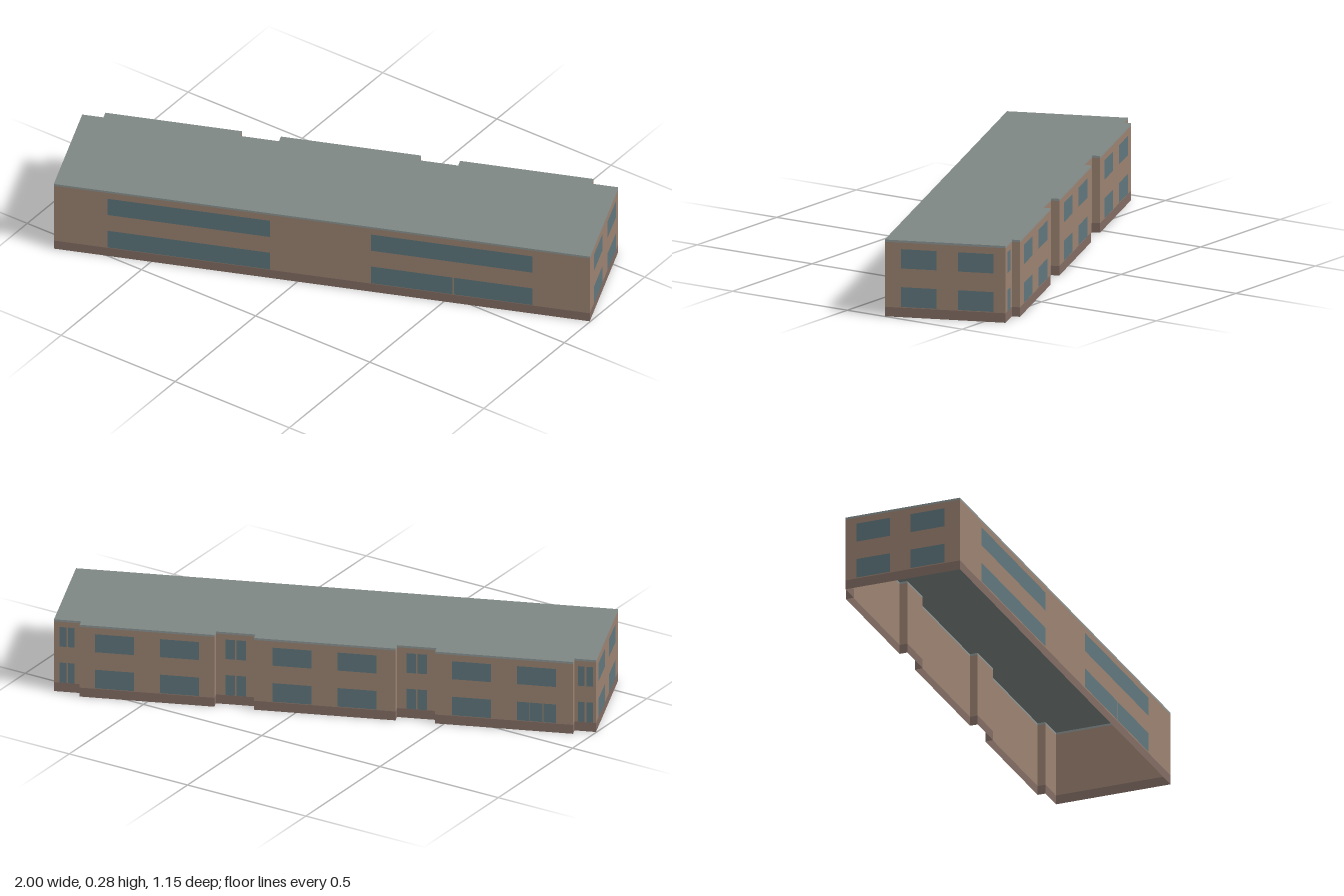
import * as THREE from 'three';

const LENGTH = 1.972, DEPTH = 0.444, BAY = 0.03, HEIGHT = 0.283;
const BASE_TOP = 0.035, TRIM_BOTTOM = 0.275;
const UPPER = [0.18, 0.251], LOWER = [0.038, 0.111];
// start and end of each projecting rear bay along the length
const BAYS = [[0.078, 0.58], [0.724, 1.239], [1.383, 1.873]];

const material = (color, side = THREE.DoubleSide) =>
  new THREE.MeshStandardMaterial({ color, side, roughness: 0.9 });

export function createModel() {
  const model = new THREE.Group();
  model.name = 'building';
  const body = new THREE.Group();
  body.name = 'body';
  body.rotation.y = 0.382;
  model.add(body);

  const brick = material(0x9c8372);
  const plinth = material(0x836d64);
  const trim = material(0x8d9694);
  const roofing = material(0x7f8885);
  const glass = material(0x5f777e, THREE.FrontSide);

  // plan position: u along the length, v from the front towards the back
  const plan = (u, v) => new THREE.Vector2(u - LENGTH / 2, DEPTH / 2 - v);

  // upright panel from p to q, facing outwards, pushed out by the offset
  function panel(name, p, q, [y0, y1], mat, offset = 0) {
    const d = q.clone().sub(p);
    const mesh = new THREE.Mesh(new THREE.PlaneGeometry(d.length(), y1 - y0), mat);
    mesh.name = name;
    mesh.rotation.y = Math.atan2(-d.y, d.x);
    mesh.position.set((p.x + q.x) / 2, (y0 + y1) / 2, (p.y + q.y) / 2);
    mesh.translateZ(offset);
    body.add(mesh);
  }

  // outline: front, right end, then the stepped back
  const outline = [plan(0, 0), plan(LENGTH, 0), plan(LENGTH, DEPTH)];
  for (const [a, b] of [...BAYS].reverse()) {
    outline.push(plan(b, DEPTH), plan(b, DEPTH + BAY), plan(a, DEPTH + BAY), plan(a, DEPTH));
  }
  outline.push(plan(0, DEPTH));

  // walls in three bands
  outline.forEach((p, i) => {
    const q = outline[(i + 1) % outline.length];
    panel('plinth', p, q, [0, BASE_TOP], plinth);
    panel('wall', p, q, [BASE_TOP, TRIM_BOTTOM], brick);
    panel('roofTrim', p, q, [TRIM_BOTTOM, HEIGHT], trim);
  });

  // flat roof; the underside stays open
  const shape = new THREE.Shape(outline.map((p) => new THREE.Vector2(p.x, -p.y)));
  const roof = new THREE.Mesh(new THREE.ShapeGeometry(shape).rotateX(-Math.PI / 2), roofing);
  roof.name = 'roof';
  roof.position.y = HEIGHT;
  body.add(roof);

  // windows
  const pane = (name, p, q, span) => panel(name, p, q, span, glass, 0.0015);
  const backPane = (centre, width, v, span) =>
    pane('backWindow', plan(centre + width / 2, v), plan(centre - width / 2, v), span);

  for (const span of [UPPER, LOWER]) {
    // long front strips; the right one is divided downstairs
    const strips = [[0.198, 0.796]];
    if (span === UPPER) strips.push([1.168, 1.761]);
    else strips.push([1.168, 1.468], [1.472, 1.761]);
    for (const [a, b] of strips) pane('frontWindow', plan(a, 0), plan(b, 0), span);

    // end walls
    for (const [a, b] of [[0.06, 0.191], [0.27, 0.4]]) {
      pane('rightEndWindow', plan(LENGTH, a), plan(LENGTH, b), span);
      pane('leftEndWindow', plan(0, b), plan(0, a), span);
    }

    // two wide windows per rear bay; one is split into three downstairs
    BAYS.forEach(([a, b], i) => {
      for (const side of [-1, 1]) {
        const centre = (a + b) / 2 + side * 0.118;
        if (i === 0 && side < 0 && span === LOWER) {
          for (const k of [-1, 0, 1]) backPane(centre + k * 0.048, 0.045, DEPTH + BAY, span);
        } else backPane(centre, 0.142, DEPTH + BAY, span);
      }
    });

    // narrow pairs in the recesses
    const tall = span === UPPER ? [0.178, 0.255] : [0.036, 0.115];
    for (const [centre, width] of [[0.038, 0.024], [0.652, 0.034], [1.311, 0.034], [1.924, 0.024]]) {
      for (const side of [-1, 1]) backPane(centre + side * (width / 2 + 0.003), width, DEPTH, tall);
    }
  }
  return model;
}
